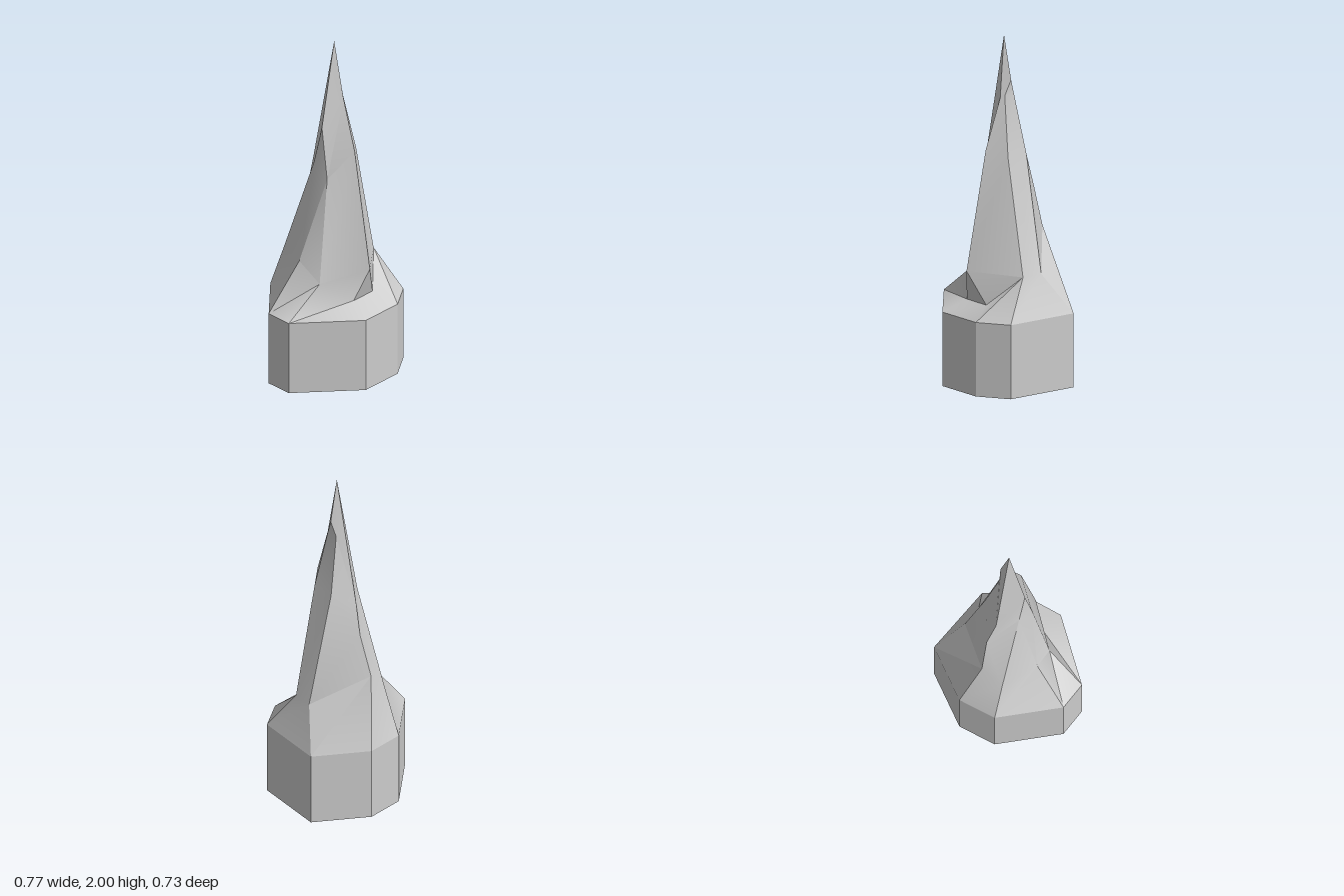
import * as THREE from 'three';
import { toCreasedNormals } from 'three/addons/utils/BufferGeometryUtils.js';

// Surface skinned between neighbouring columns; coincident points collapse to triangles.
function skin(columns) {
  const pos = [];
  const tri = (a, b, c) => {
    const same = (p, q) => p.every((v, k) => v === q[k]);
    if (!same(a, b) && !same(b, c) && !same(c, a)) pos.push(...a, ...b, ...c);
  };
  columns.forEach((col, i) => {
    const next = columns[(i + 1) % columns.length];
    for (let r = 0; r < col.length - 1; r++) {
      tri(col[r], next[r], next[r + 1]);
      tri(col[r], next[r + 1], col[r + 1]);
    }
  });
  const geo = new THREE.BufferGeometry();
  geo.setAttribute('position', new THREE.Float32BufferAttribute(pos, 3));
  return toCreasedNormals(geo, THREE.MathUtils.degToRad(30));
}

export function createModel() {
  const group = new THREE.Group();
  group.name = 'crystalSpike';
  const material = new THREE.MeshStandardMaterial({ color: 0xcccccc, side: THREE.DoubleSide });

  const baseTop = 0.43;
  // Irregular octagonal footprint (x, z), from the right corner round the front
  const foot = [
    [-0.39, 0.23], [-0.29, 0.365], [0.14, 0.365], [0.335, 0.175],
    [0.385, -0.02], [0.15, -0.365], [-0.19, -0.315], [-0.345, -0.155],
  ];

  // Ridge points shared by two columns
  const frontRidge = [[0.175, 0.68, 0.23], [0.1, 1.36, 0.125], [0.045, 1.65, 0.045]];
  const chip = [-0.08, 1.5, 0.095];
  const backMid = [-0.13, 1.08, -0.14];
  const backUpper = [-0.11, 1.25, -0.08];
  const notch = [0.03, 1.75, -0.015];
  const apex = [-0.005, 2, 0.025];

  // Each column: shoulder, ridge, middle, upper, tip
  const ridges = [
    [[-0.21, 0.7, 0.13], [-0.21, 0.7, 0.13], [-0.12, 1.27, 0.05], chip, chip],
    [[-0.105, 0.6, 0.23], [-0.105, 0.6, 0.23], [-0.055, 1.2, 0.14], chip, chip],
    [[0.085, 0.49, 0.23], ...frontRidge, frontRidge[2]],
    [[0.2, 0.49, 0.12], ...frontRidge, frontRidge[2]],
    [[0.225, 0.66, -0.085], [0.225, 0.66, -0.085], [0.12, 1.32, 0], [0.045, 1.66, 0.02], notch],
    [[0.155, 0.66, -0.185], [0.155, 0.66, -0.185], [0.03, 1.32, -0.1], [0, 1.66, -0.03], notch],
    [[-0.19, 0.84, -0.185], [-0.19, 0.84, -0.185], backMid, backUpper, backUpper],
    [[-0.27, 0.7, -0.09], [-0.27, 0.7, -0.09], backMid, backUpper, backUpper],
  ];

  // Upright walls, open underneath
  const base = new THREE.Mesh(skin(foot.map(([x, z]) => [[x, 0, z], [x, baseTop, z]])), material);
  base.name = 'base';

  // Faceted shoulder tapering to the point
  const spike = new THREE.Mesh(
    skin(foot.map(([x, z], i) => [[x, baseTop, z], ...ridges[i], apex])), material);
  spike.name = 'spike';

  group.add(base, spike);
  return group;
}
